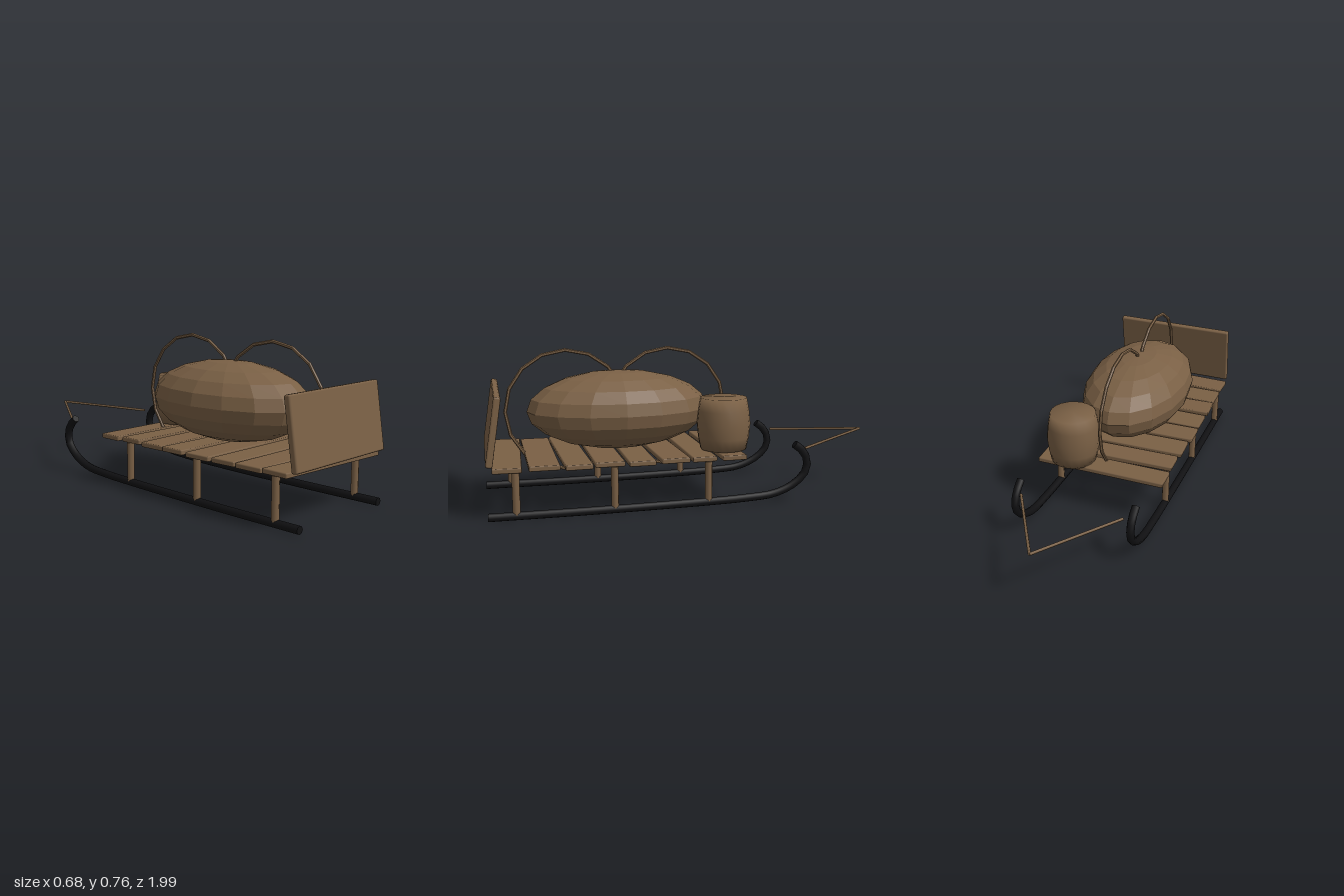
import * as THREE from 'three';
import { RoundedBoxGeometry } from 'three/addons/geometries/RoundedBoxGeometry.js';

export function createModel() {
  const model = new THREE.Group();
  model.name = 'loadedSled';
  const wood = new THREE.MeshStandardMaterial({ color: 0x7a6045 });
  wood.name = 'brown wood';
  const iron = new THREE.MeshStandardMaterial({ color: 0x101012 });
  iron.name = 'black iron';

  const add = (name, geometry, material, x = 0, y = 0, z = 0) => {
    const mesh = new THREE.Mesh(geometry, material);
    mesh.name = name;
    mesh.position.set(x, y, z);
    model.add(mesh);
    return mesh;
  };
  const flat = (geometry) => {
    const g = geometry.toNonIndexed();
    g.computeVertexNormals();
    return g;
  };

  // Runners with upswept, curled tips, and the posts standing on them
  const runnerPoints = [
    [0.022, 0.99], [0.022, 0.5], [0.028, -0.05], [0.034, -0.25], [0.048, -0.4],
    [0.09, -0.5], [0.15, -0.56], [0.21, -0.568], [0.26, -0.54], [0.292, -0.5],
  ];
  for (const side of [-1, 1]) {
    const label = side > 0 ? 'left' : 'right';
    const path = new THREE.CatmullRomCurve3(
      runnerPoints.map(([y, z]) => new THREE.Vector3(side * 0.296, y, z)));
    add(label + 'Runner', new THREE.TubeGeometry(path, 40, 0.02, 8), iron);
    // Runner end caps
    for (const t of [0, 1]) {
      const cap = add(label + 'RunnerCap', new THREE.CircleGeometry(0.02, 8), iron);
      cap.position.copy(path.getPointAt(t));
      const out = path.getTangentAt(t).multiplyScalar(t ? 1 : -1);
      cap.quaternion.setFromUnitVectors(new THREE.Vector3(0, 0, 1), out);
    }
    for (const z of [0.86, 0.4, -0.06])
      add(label + 'Post', new THREE.CylinderGeometry(0.018, 0.018, 0.2, 8), wood, side * 0.296, 0.13, z);
  }

  // Uneven deck slats: x, z, length, depth, yaw, roll
  const slats = [
    [0, -0.18, 0.665, 0.122, 0.01, 0.004],
    [-0.005, -0.032, 0.645, 0.122, 0.018, -0.006],
    [-0.002, 0.118, 0.66, 0.14, 0.035, 0.005],
    [-0.006, 0.273, 0.67, 0.13, 0.012, -0.008],
    [-0.002, 0.427, 0.665, 0.142, 0.01, 0.006],
    [0, 0.58, 0.675, 0.13, 0.035, -0.005],
    [0, 0.73, 0.66, 0.145, 0.006, 0.004],
    [0, 0.887, 0.66, 0.135, -0.035, -0.006],
  ];
  for (const [x, z, length, depth, yaw, roll] of slats) {
    const slat = add('slat', new RoundedBoxGeometry(length, 0.025, depth, 1, 0.006), wood, x, 0.246, z);
    slat.rotation.set(0, yaw, roll);
  }

  // Leaning end board
  const board = add('endBoard', new RoundedBoxGeometry(0.655, 0.327, 0.033, 1, 0.009), wood, 0, 0.422, 0.953);
  board.rotation.x = -0.155;

  // Faceted cargo sack
  const sack = new THREE.SphereGeometry(1, 16, 10);
  sack.scale(0.27, 0.195, 0.455);
  add('sack', flat(sack), wood, 0, 0.457, 0.33);

  // Bulging keg
  const kegProfile = [
    [0, 0], [0.115, 0], [0.127, 0.06], [0.134, 0.127], [0.127, 0.195], [0.115, 0.258], [0, 0.258],
  ].map(([r, y]) => new THREE.Vector2(r, y));
  add('keg', new THREE.LatheGeometry(kegProfile, 20), wood, 0.163, 0.262, -0.172);

  // Rope hoops around the load
  for (const z of [0.59, 0.078]) {
    const hoop = add('ropeHoop', flat(new THREE.TorusGeometry(0.297, 0.009, 6, 16)), wood, 0, 0.459, z);
    hoop.rotation.y = Math.PI / 2;
  }

  // Pull rope meeting at a point
  const tip = new THREE.Vector3(0, 0.293, -0.99);
  for (const side of [-1, 1]) {
    const start = new THREE.Vector3(side * 0.26, 0.26, -0.57);
    const span = tip.clone().sub(start);
    const rope = add('pullRope', new THREE.CylinderGeometry(0.007, 0.007, span.length(), 6), wood);
    rope.position.copy(start).addScaledVector(span, 0.5);
    rope.quaternion.setFromUnitVectors(new THREE.Vector3(0, 1, 0), span.normalize());
  }
  return model;
}
